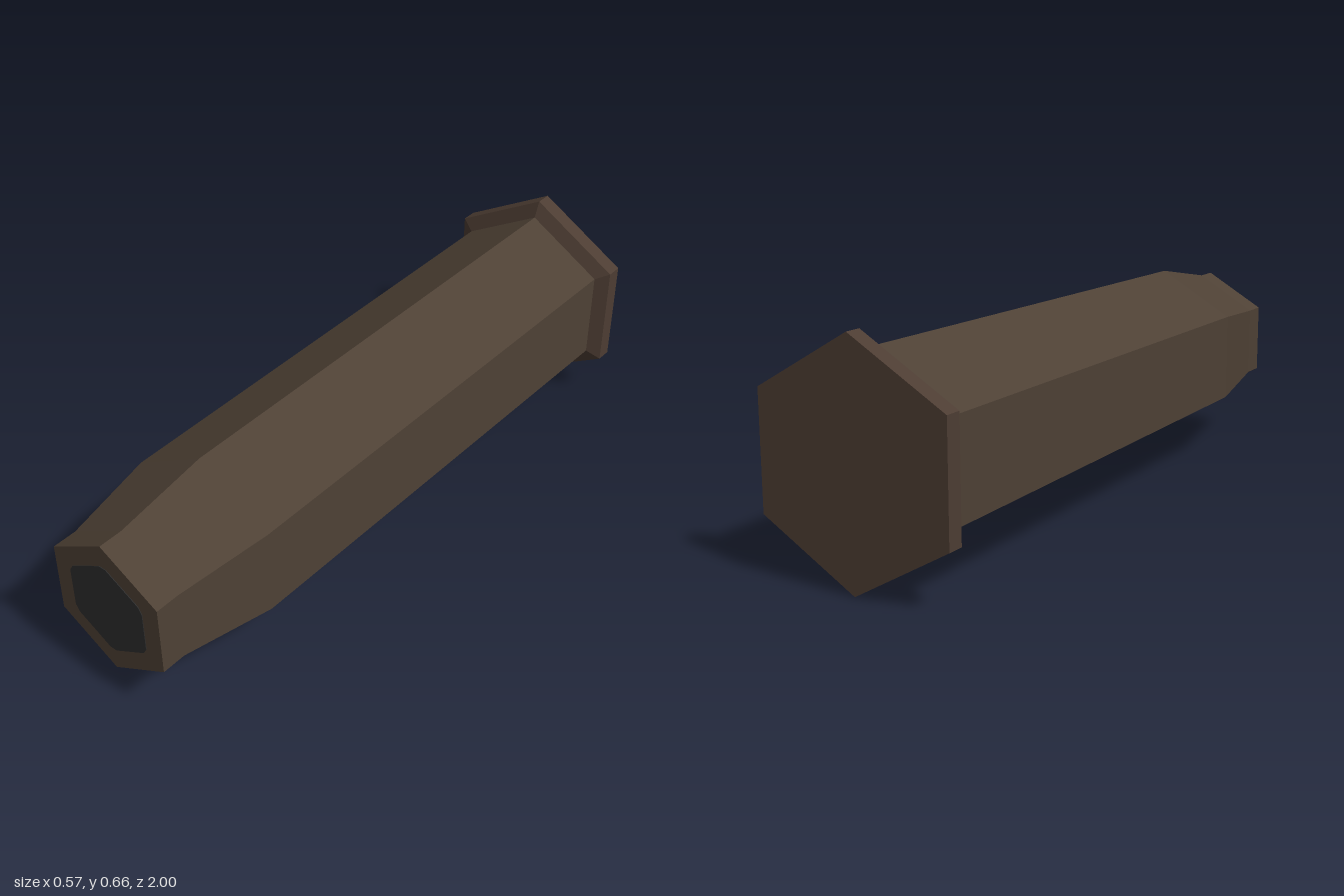
import * as THREE from 'three';

const CENTER_Y = 0.33;

function material(name, color) {
  const m = new THREE.MeshStandardMaterial({ color });
  m.name = name;
  return m;
}

// Six-sided frustum along z with sharp facets; caps are closed separately
function hexSection(name, zBack, zFront, rBack, rFront, mat) {
  const geo = new THREE.CylinderGeometry(rFront, rBack, zFront - zBack, 6, 1, true)
    .rotateX(Math.PI / 2)
    .toNonIndexed();
  geo.computeVertexNormals();
  const mesh = new THREE.Mesh(geo, mat);
  mesh.name = name;
  mesh.position.z = (zBack + zFront) / 2;
  return mesh;
}

// Flat hexagon closing an end
function hexCap(name, z, r, mat, facesBack) {
  const mesh = new THREE.Mesh(new THREE.CircleGeometry(r, 6, Math.PI / 2), mat);
  mesh.name = name;
  mesh.position.z = z;
  if (facesBack) mesh.rotation.y = Math.PI;
  return mesh;
}

// Hexagon with slightly clipped corners
function clippedHexagon(r, clip) {
  const corner = (i) => new THREE.Vector2(0, r).rotateAround(new THREE.Vector2(), i * Math.PI / 3);
  const points = [];
  for (let i = 0; i < 6; i++) {
    points.push(corner(i).lerp(corner(i - 1), clip), corner(i).lerp(corner(i + 1), clip));
  }
  return new THREE.Shape(points);
}

export function createModel() {
  const brown = material('brown', 0x4e4135);
  const rimBrown = material('rim brown', 0x4d3d33);
  const darkGrey = material('dark grey', 0x2d2d2d);

  const model = new THREE.Group();
  model.name = 'hexagonalCase';
  model.position.y = CENTER_Y;

  // Wide rim and base
  model.add(hexCap('base', -1, 0.33, rimBrown, true));
  model.add(hexSection('rim', -1, -0.95, 0.33, 0.33, rimBrown));
  model.add(hexSection('rimBevel', -0.95, -0.93, 0.33, 0.28, rimBrown));

  // Body, shoulder and neck
  model.add(hexSection('body', -0.93, 0.64, 0.28, 0.267, brown));
  model.add(hexSection('shoulder', 0.64, 0.925, 0.267, 0.215, brown));
  model.add(hexSection('neck', 0.925, 0.998, 0.215, 0.215, brown));
  model.add(hexCap('neckEnd', 0.998, 0.215, brown, false));

  // Dark opening as a thin plate
  const opening = new THREE.Mesh(
    new THREE.ExtrudeGeometry(clippedHexagon(0.15, 0.09), { depth: 0.003, bevelEnabled: false }),
    darkGrey
  );
  opening.name = 'opening';
  opening.position.z = 0.997;
  model.add(opening);

  const root = new THREE.Group();
  root.name = 'model';
  root.add(model);
  return root;
}
